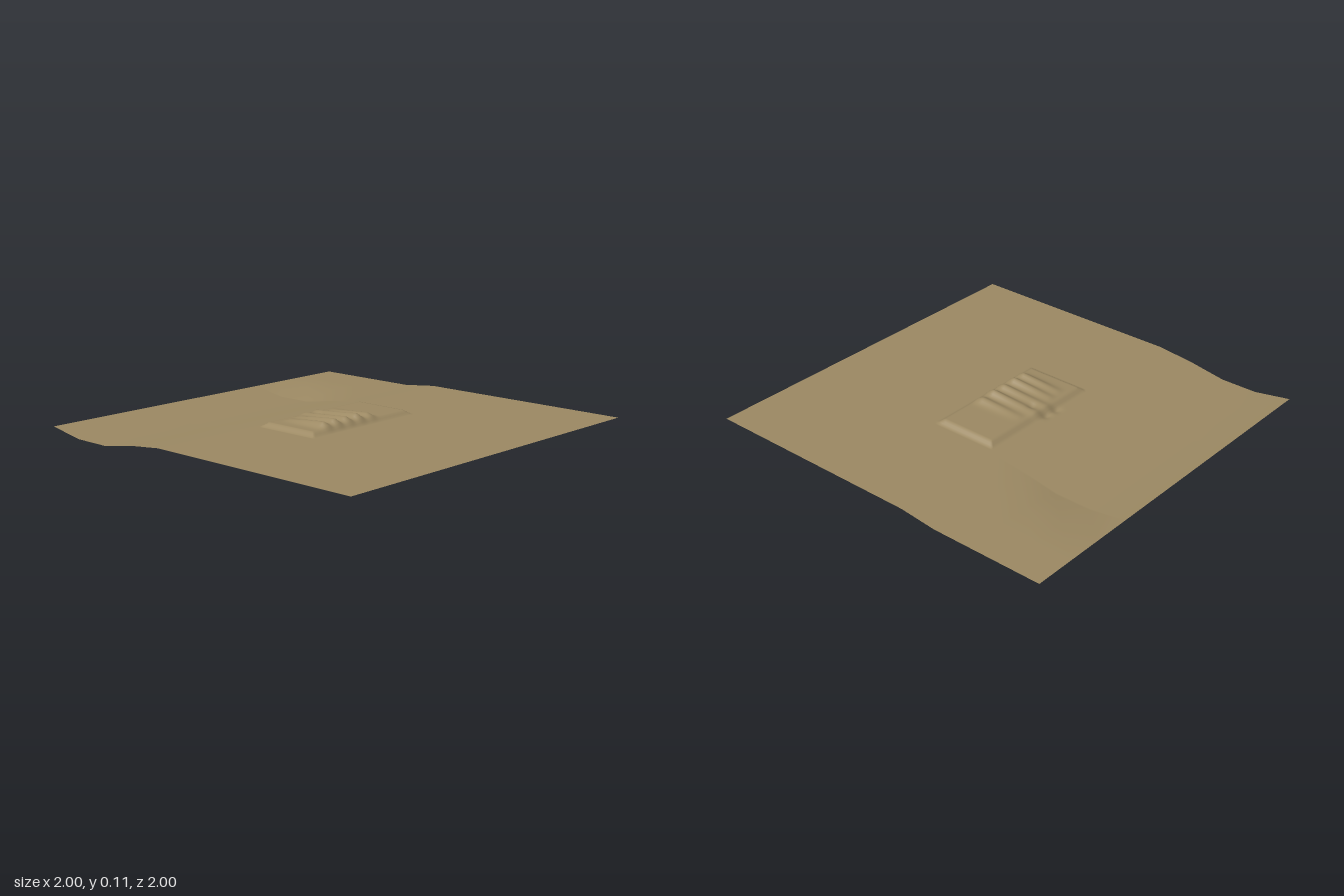
import * as THREE from 'three';

const lerpTable = (table, v) => {
  if (v <= table[0][0]) return table[0][1];
  for (let i = 1; i < table.length; i++) {
    const [a, ya] = table[i - 1], [b, yb] = table[i];
    if (v <= b) return ya + (yb - ya) * (v - a) / (b - a);
  }
  return table[table.length - 1][1];
};

// Ground profiles along z: deep channel on the -x side, shallow step on the +x side
const channel = [[-1, 0.033], [-0.8, 0], [-0.6, 0], [-0.4, 0.033], [-0.2, 0.054]];
const step = [[-0.4, 0.033], [-0.2, 0.054]];

// Raised ridges: x centre, peak height, back end
const ridges = [
  [-0.235, 0.029, -0.13], [-0.16, 0.033, -0.14], [-0.08, 0.03, -0.19],
  [0, 0.033, -0.19], [0.08, 0.023, -0.14],
];

function height(x, z) {
  const t = THREE.MathUtils.clamp((x - 0.4) / 0.2, 0, 1);
  let y = THREE.MathUtils.lerp(lerpTable(channel, z), lerpTable(step, z), t);

  // bevelled rectangular plateau
  const inset = Math.min(x + 0.37, 0.36 - x, z + 0.18, 0.185 - z);
  y += 0.021 * THREE.MathUtils.clamp(inset / 0.03, 0, 1);

  // ridges, tallest near the front and tapering to the back
  let ridge = 0;
  for (const [cx, peak, back] of ridges) {
    const along = lerpTable([[back, 0], [back + 0.03, 0.25], [0, 0.65], [0.125, 1], [0.175, 0]], z);
    ridge += peak * along * Math.exp(-(((x - cx) / 0.03) ** 2));
  }
  y += ridge;

  // small hollows behind the middle ridges
  for (const [cx, cz, depth] of [[-0.12, -0.19, 0.009], [-0.045, -0.185, 0.01], [-0.04, -0.1, 0.008]])
    y -= depth * Math.exp(-(((x - cx) / 0.025) ** 2) - ((z - cz) / 0.022) ** 2);
  return y;
}

// Grid lines: coarse outside, fine over the relief
function gridLines(fineEdge, spacing) {
  const lines = [];
  for (let i = -5; i <= 5; i++) if (Math.abs(i * 0.2) > fineEdge + 0.001) lines.push(i * 0.2);
  const n = Math.round(2 * fineEdge / spacing);
  for (let i = 0; i <= n; i++) lines.push(-fineEdge + 2 * fineEdge * i / n);
  return lines.sort((a, b) => a - b);
}

function terrainGeometry() {
  const xs = gridLines(0.4, 0.01), zs = gridLines(0.24, 0.01);
  // keep the bend line of the ground
  zs.push(-0.2);
  const rows = [...new Set(zs.map(v => +v.toFixed(4)))].sort((a, b) => a - b);
  const positions = [], index = [];
  for (const z of rows) for (const x of xs) positions.push(x, height(x, z), z);
  const w = xs.length;
  for (let r = 0; r < rows.length - 1; r++)
    for (let c = 0; c < w - 1; c++) {
      const a = r * w + c, b = a + 1, d = a + w, e = d + 1;
      index.push(a, d, b, b, d, e);
    }
  const geo = new THREE.BufferGeometry();
  geo.setAttribute('position', new THREE.Float32BufferAttribute(positions, 3));
  geo.setIndex(index);
  geo.computeVertexNormals();
  return geo;
}

export function createModel() {
  const group = new THREE.Group();
  group.name = 'terrain';
  const sand = new THREE.MeshStandardMaterial({ color: 0x9c8963, side: THREE.DoubleSide });
  sand.name = 'sand';

  // ground sheet with plateau and ridges
  const ground = new THREE.Mesh(terrainGeometry(), sand);
  ground.name = 'ground';
  group.add(ground);

  // small block under the centre
  const block = new THREE.Mesh(new THREE.BoxGeometry(0.036, 0.022, 0.036), sand);
  block.name = 'centreBlock';
  block.position.set(0, 0.051, 0);
  group.add(block);
  return group;
}
